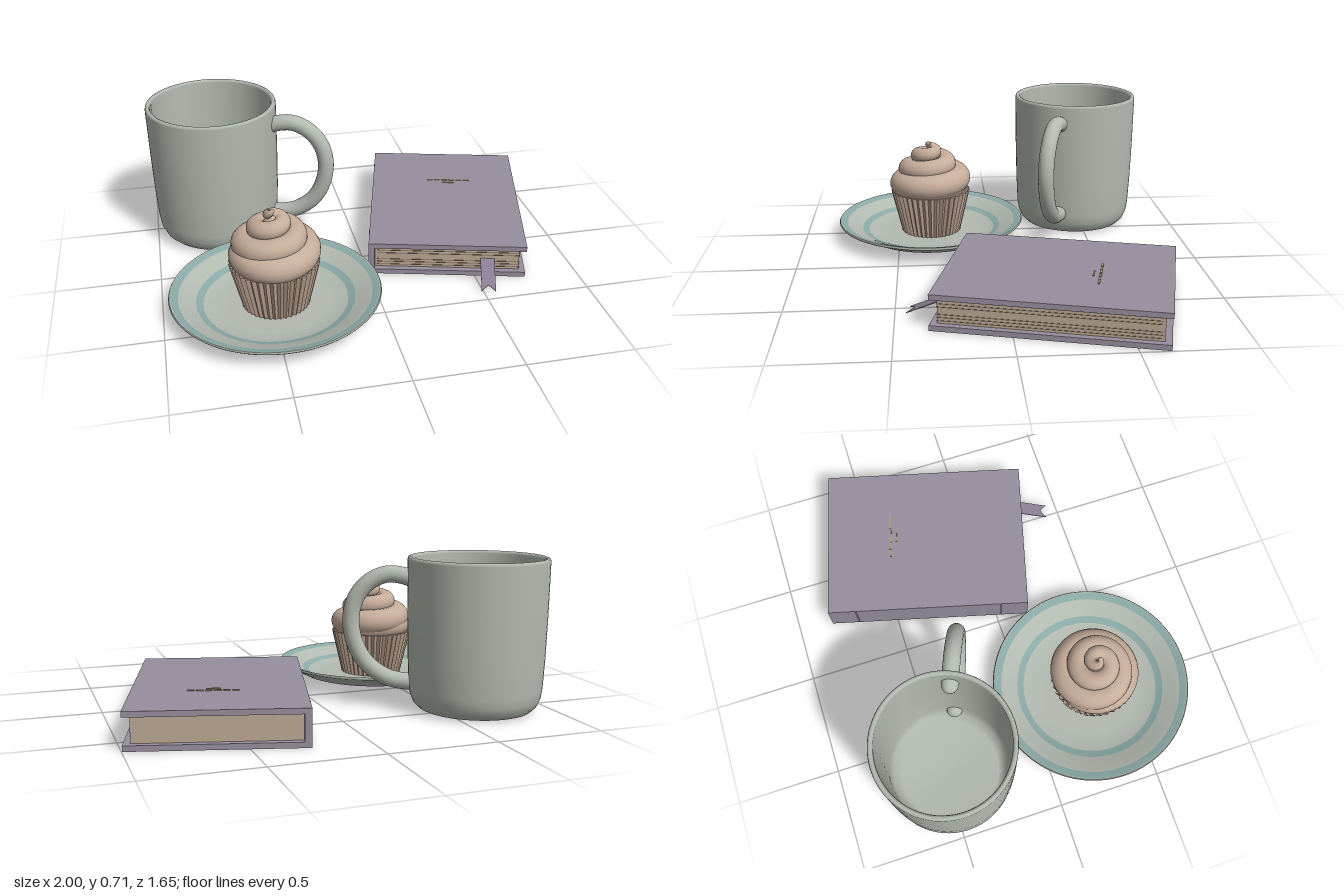
import * as THREE from 'three';

const mat = (name, color) => {
  const m = new THREE.MeshStandardMaterial({ color, side: THREE.DoubleSide });
  m.name = name;
  return m;
};
const v2 = (pts) => pts.map(([x, y]) => new THREE.Vector2(x, y));
const lerpTable = (table, k) => {
  const i = Math.min(Math.floor(k), table.length - 2);
  return THREE.MathUtils.lerp(table[i], table[i + 1], k - i);
};

export function createModel() {
  const root = new THREE.Group();
  const glaze = mat('sage glaze', 0xb3bab0);
  const teal = mat('teal stripe', 0x8aaaa7);
  const cream = mat('frosting tan', 0xc6ad9b);
  const paper = mat('wrapper tan', 0xbba28f);
  const cover = mat('purple cover', 0x988e9f);
  const ribbonMat = mat('ribbon purple', 0x8b7f95);
  const pageMat = mat('page tan', 0xbca994);
  const lineMat = mat('page line brown', 0x7d6c58);
  const gold = mat('dull gold', 0xa89a74);

  const add = (parent, name, geo, material, x = 0, y = 0, z = 0) => {
    const m = new THREE.Mesh(geo, material);
    m.name = name;
    m.position.set(x, y, z);
    parent.add(m);
    return m;
  };
  const group = (name, x, z, angle = 0) => {
    const g = new THREE.Group();
    g.name = name;
    g.position.set(x, 0, z);
    g.rotation.y = angle;
    root.add(g);
    return g;
  };

  // Mug: one lathed wall with a rounded foot, and a tube handle
  const mug = group('mug', -0.675, -0.47, -0.385);
  add(mug, 'mugBody', new THREE.LatheGeometry(v2([
    [0, 0.008], [0.2, 0.008], [0.235, 0.002], [0.265, 0.008], [0.288, 0.03], [0.303, 0.065],
    [0.31, 0.11], [0.317, 0.25], [0.322, 0.45], [0.325, 0.7], [0.322, 0.711], [0.313, 0.715],
    [0.304, 0.711], [0.3, 0.7], [0.297, 0.45], [0.29, 0.14], [0.275, 0.08], [0.24, 0.05], [0, 0.045],
  ]), 72), glaze);
  const handlePath = new THREE.CatmullRomCurve3([
    [0.285, 0.605], [0.35, 0.625], [0.42, 0.63], [0.5, 0.595], [0.562, 0.52], [0.585, 0.42],
    [0.567, 0.31], [0.515, 0.215], [0.43, 0.15], [0.36, 0.128], [0.29, 0.12],
  ].map(([x, y]) => new THREE.Vector3(x, y, 0)));
  add(mug, 'mugHandle', new THREE.TubeGeometry(handlePath, 64, 0.04, 20), glaze);
  for (const t of [0, 1]) {
    const p = handlePath.getPoint(t);
    add(mug, 'handleEnd', new THREE.SphereGeometry(0.04, 20, 12), glaze, p.x, p.y, 0);
  }

  // Plate: underside and rim, then the top surface split into coloured bands
  const plate = group('plate', -0.48, 0.33);
  add(plate, 'plateUnderside', new THREE.LatheGeometry(v2([
    [0, 0.008], [0.24, 0.008], [0.27, 0.003], [0.3, 0.006], [0.36, 0.02], [0.41, 0.045],
    [0.45, 0.067], [0.485, 0.08], [0.491, 0.087], [0.487, 0.094],
  ]), 96), glaze);
  const topY = (r) => 0.024 + 0.07 * THREE.MathUtils.smoothstep(r, 0.27, 0.52) / 0.953;
  for (const [r0, r1, m, name] of [
    [0.487, 0.482, glaze, 'plateLip'], [0.482, 0.448, teal, 'outerStripe'], [0.448, 0.368, glaze, 'plateSlope'],
    [0.368, 0.335, teal, 'innerStripe'], [0.335, 0, glaze, 'plateWell'],
  ]) {
    const pts = [];
    for (let i = 0; i <= 8; i++) {
      const r = r0 + (r1 - r0) * i / 8;
      pts.push([r, topY(r)]);
    }
    add(plate, name, new THREE.LatheGeometry(v2(pts), 96), m);
  }

  // Cupcake wrapper: a tapered cylinder with every other corner pulled in
  const cupcake = group('cupcake', -0.48, 0.33);
  const pleats = 40;
  let wrap = new THREE.CylinderGeometry(0.21, 0.157, 0.225, pleats * 2, 1);
  const wp = wrap.attributes.position;
  for (let i = 0; i < wp.count; i++) {
    const a = Math.atan2(wp.getX(i), wp.getZ(i)) + Math.PI;
    const s = Math.round(a / Math.PI * pleats) % 2 ? 0.935 : 1;
    wp.setXYZ(i, wp.getX(i) * s, wp.getY(i), wp.getZ(i) * s);
  }
  wrap = wrap.toNonIndexed();
  wrap.computeVertexNormals();
  add(cupcake, 'wrapper', wrap, paper, 0, 0.1375, 0);

  // Frosting: a rising spiral tube that thins to the tip; tables step by half a turn
  const radii = [0.135, 0.148, 0.148, 0.113, 0.086, 0.058, 0.028, 0.008];
  const heights = [0.288, 0.288, 0.318, 0.365, 0.4, 0.438, 0.468, 0.503];
  const thick = [0.064, 0.067, 0.065, 0.055, 0.05, 0.042, 0.03, 0.01];
  class Swirl extends THREE.Curve {
    getPoint(t, out = new THREE.Vector3()) {
      const k = t * (radii.length - 1), a = k * Math.PI, r = lerpTable(radii, k);
      return out.set(-Math.sin(a) * r, lerpTable(heights, k), -Math.cos(a) * r);
    }
  }
  const swirl = new Swirl(), steps = 220, sides = 18;
  const tube = new THREE.TubeGeometry(swirl, steps, 1, sides);
  const tp = tube.attributes.position, v = new THREE.Vector3();
  for (let i = 0; i <= steps; i++) {
    const c = swirl.getPointAt(i / steps);
    const s = lerpTable(thick, swirl.getUtoTmapping(i / steps) * (thick.length - 1));
    for (let j = 0; j <= sides; j++) {
      const n = i * (sides + 1) + j;
      v.fromBufferAttribute(tp, n).sub(c).multiplyScalar(s).add(c);
      tp.setXYZ(n, v.x, v.y, v.z);
    }
  }
  add(cupcake, 'frostingSwirl', tube, cream);
  for (const t of [0, 1]) {
    const p = swirl.getPoint(t);
    add(cupcake, 'swirlEnd', new THREE.SphereGeometry(t ? 0.01 : 0.064, 18, 12), cream, p.x, p.y, p.z);
  }
  add(cupcake, 'frostingCore', new THREE.LatheGeometry(v2([
    [0, 0.245], [0.195, 0.245], [0.19, 0.29], [0.14, 0.345], [0.08, 0.41], [0.03, 0.46], [0, 0.48],
  ]), 48), cream);

  // Book: two boards, a spine with raised bands, and an inset page block
  const book = group('book', 0.498, -0.238, -0.258);
  const W = 0.765, L = 1.019, H = 0.167, T = 0.025;
  const box = (name, w, h, d, m, x, y, z) => add(book, name, new THREE.BoxGeometry(w, h, d), m, x, y, z);
  box('bottomCover', W, T, L, cover, 0, T / 2, 0);
  box('topCover', W, T, L, cover, 0, H - T / 2, 0);
  box('spine', 0.03, H - 2 * T, L, cover, -W / 2 + 0.015, H / 2, 0);
  for (const s of [-1, 1]) box('spineBand', 0.004, H - 0.01, 0.008, cover, -W / 2 - 0.001, H / 2, s * 0.37);
  const pw = W - 0.06, pl = L - 0.06;
  box('pages', pw, H - 2 * T, pl, pageMat, 0, H / 2, 0);
  for (const y of [0.037, 0.052, 0.066, 0.1, 0.115, 0.13]) {
    box('pageLine', pw - 0.01, 0.003, pl - 0.01, lineMat, 0.007, y, 0.007);
  }
  // Cover ornament: a broken rule with a shorter one beneath
  for (let i = 0; i < 6; i++) {
    box('coverRule', 0.031, 0.004, 0.01, gold, 0.024 + (i - 2.5) * 0.039, H + 0.002, -0.185);
  }
  box('coverShortRule', 0.06, 0.004, 0.007, gold, 0.024, H + 0.002, -0.155);

  // Ribbon bookmark: a sloping strip with a notched tail
  const tail = new THREE.Shape(v2([[-0.034, 0], [0.034, 0], [0.034, 0.215], [0, 0.18], [-0.034, 0.215]]));
  const ribbon = add(book, 'ribbon', new THREE.ExtrudeGeometry(tail, { depth: 0.004, bevelEnabled: false }),
    ribbonMat, 0.198, 0.093, 0.455);
  ribbon.rotation.x = Math.PI / 2 + 0.42;

  return root;
}
